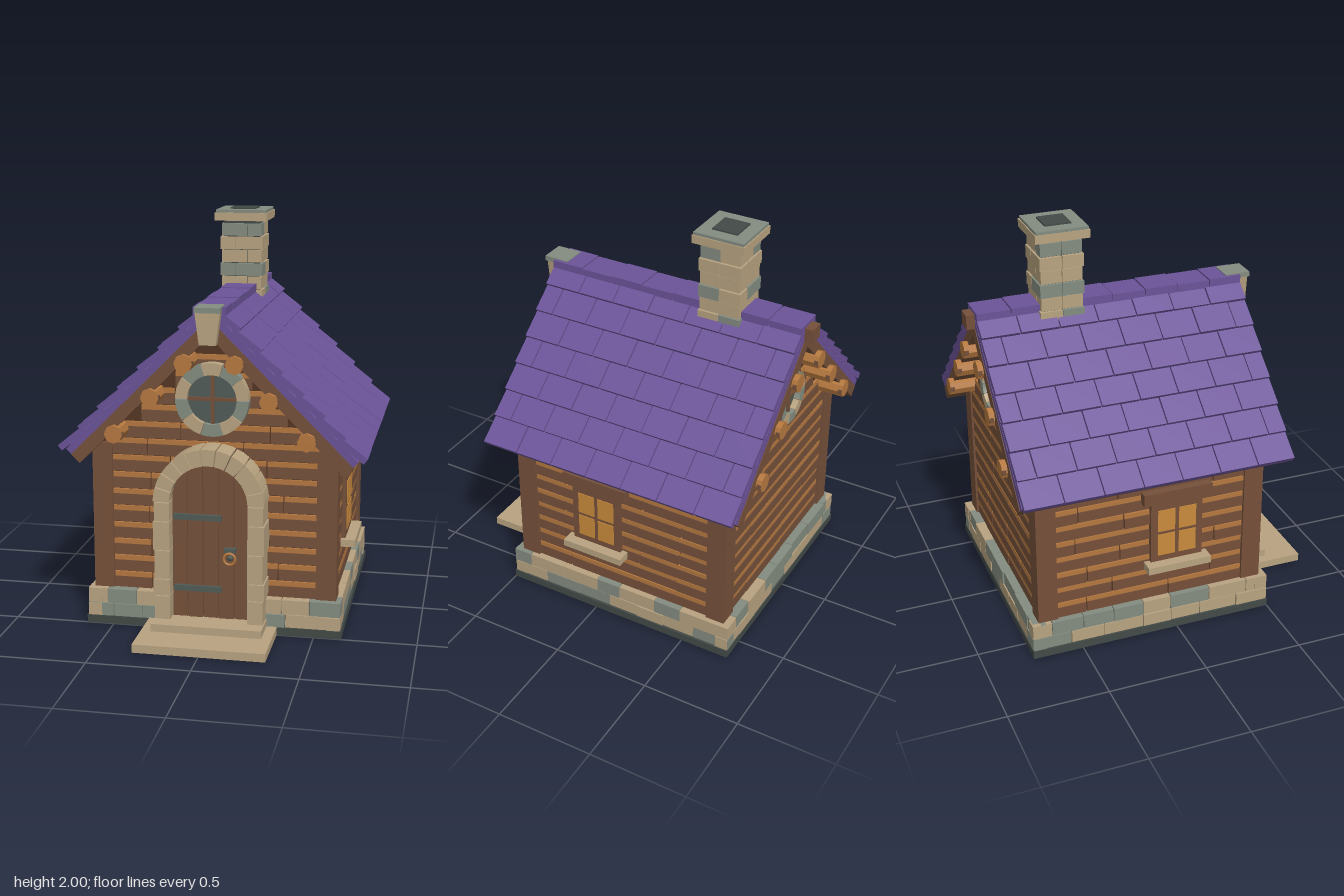
import * as THREE from 'three';

const mat = (name, color) => {
  const m = new THREE.MeshStandardMaterial({ color });
  m.name = name;
  return m;
};
const M = {
  tan: mat('sandstone', 0xb8a380),
  grey: mat('greyStone', 0x848c80),
  slate: mat('darkStone', 0x424a46),
  purple: mat('roofTile', 0x6b5398),
  brown: mat('wood', 0x75503a),
  dark: mat('darkWood', 0x553622),
  orange: mat('lightWood', 0xb5783f),
  amber: mat('litGlass', 0xc98a3c),
  iron: mat('iron', 0x505b56),
};
const ZC = -0.1275; // middle of the house in z

let seed = 7;
const rnd = () => (seed = (seed * 16807) % 2147483647) / 2147483647;
const stone = () => (rnd() < 0.62 ? M.tan : M.grey);

function add(parent, name, geo, material, x = 0, y = 0, z = 0) {
  const m = new THREE.Mesh(geo, material);
  m.name = name;
  m.position.set(x, y, z);
  parent.add(m);
  return m;
}
// box given by its min and max on each axis
const box = (p, name, material, x0, x1, y0, y1, z0, z1) =>
  add(p, name, new THREE.BoxGeometry(x1 - x0, y1 - y0, z1 - z0), material,
    (x0 + x1) / 2, (y0 + y1) / 2, (z0 + z1) / 2);

function group(parent, name) {
  const g = new THREE.Group();
  g.name = name;
  parent.add(g);
  return g;
}
const polygon = pts => new THREE.Shape(pts.map(([x, y]) => new THREE.Vector2(x, y)));
const extrude = (shape, depth) =>
  new THREE.ExtrudeGeometry(shape, { depth, bevelEnabled: false, curveSegments: 3 });

// ring of wedge-shaped stones between two angles
function stoneRing(p, name, r0, r1, a0, a1, count, y, z, depth, pick) {
  const step = (a1 - a0) / count, gap = 0.012;
  for (let i = 0; i < count; i++) {
    const a = a0 + i * step + gap, b = a0 + (i + 1) * step - gap;
    const s = new THREE.Shape();
    s.absarc(0, 0, r1, a, b, false);
    s.absarc(0, 0, r0, b, a, true);
    add(p, name, extrude(s, depth), pick(i), 0, y, z);
  }
}
// staggered planks with pale upper edges; local +z points outwards
function plankWall(p, name, yMax) {
  const g = group(p, name), h = 0.0855;
  for (let row = 0, y = 0.175; y + h <= yMax + 0.001; row++, y += h) {
    const half = Math.min(0.515, 1.475 - y - h);
    if (half < 0.05) break;
    const cuts = [-half, half];
    for (const c of row % 2 ? [-0.18, 0.3] : [-0.34, 0.1]) {
      if (Math.abs(c) < half - 0.06) cuts.push(c + (rnd() - 0.5) * 0.1);
    }
    cuts.sort((a, b) => a - b);
    for (let i = 0; i + 1 < cuts.length; i++) {
      const out = 0.012 + rnd() * 0.005, a = cuts[i] + 0.003, b = cuts[i + 1] - 0.003;
      box(g, 'plank', M.brown, a, b, y + 0.004, y + h - 0.026, -0.02, out);
      box(g, 'plankEdge', M.orange, a, b, y + h - 0.026, y + h - 0.002, -0.02, out - 0.003);
    }
  }
  return g;
}
// round gable window; local +z points outwards
function roundWindow(p, name, r0, r1) {
  const g = group(p, name);
  stoneRing(g, 'windowStone', r0, r1, 0, Math.PI * 2, 10, 0, 0, 0.06, i => (i % 2 ? M.grey : M.tan));
  const glass = add(g, 'glass', new THREE.CylinderGeometry(r0 + 0.01, r0 + 0.01, 0.04, 20), M.iron, 0, 0, 0.01);
  glass.rotation.x = Math.PI / 2;
  box(g, 'bar', M.brown, -r0, r0, -0.008, 0.008, 0.025, 0.042);
  box(g, 'bar', M.brown, -0.008, 0.008, -r0, r0, 0.025, 0.042);
  return g;
}
// square side window; local +z points outwards
function sideWindow(p) {
  const g = group(p, 'sideWindow');
  box(g, 'frame', M.brown, -0.135, 0.135, 0.395, 0.72, -0.02, 0.025);
  for (const sx of [-1, 1]) for (const y of [0.43, 0.565]) {
    box(g, 'pane', M.amber, sx * 0.055 - 0.045, sx * 0.055 + 0.045, y, y + 0.118, 0.022, 0.029);
  }
  box(g, 'lintel', M.brown, -0.178, 0.178, 0.73, 0.793, -0.02, 0.045);
  box(g, 'sill', M.tan, -0.165, 0.165, 0.36, 0.397, -0.02, 0.077);
  return g;
}
// one roof slope: x runs down the slope, y is its normal
function roofSlope(p, turn) {
  const side = group(p, 'roofSlope');
  side.position.set(0, 1.56, ZC);
  side.rotation.y = turn;
  const g = group(side, 'slope');
  g.rotation.z = -Math.PI / 4;
  const Z = 0.6825, pitch = 0.141, w = (2 * Z) / 7;
  box(g, 'deck', M.brown, 0, 0.965, -0.06, 0, -Z, Z);
  box(g, 'underlay', M.purple, 0, 0.965, 0, 0.035, -Z + 0.002, Z - 0.002);
  for (let row = 0; row < 7; row++) {
    const end = 0.986 - pitch * (6 - row);
    for (let i = 0; i <= 7; i++) {
      const off = row % 2 ? -w / 2 : 0;
      const a = Math.max(-Z, -Z + i * w + off), b = Math.min(Z, -Z + (i + 1) * w + off);
      if (b - a < 0.02) continue;
      const len = row ? 0.165 : 0.14;
      const t = box(g, 'tile', M.purple, end - len, end, 0.034, 0.066, a + 0.003, b - 0.003);
      t.rotation.z = 0.13;
      t.position.y += (rnd() - 0.5) * 0.004;
    }
  }
}

export function createModel() {
  const house = new THREE.Group();
  house.name = 'cottage';

  // foundation
  const base = group(house, 'foundation');
  box(base, 'slab', M.slate, -0.635, 0.635, 0, 0.04, -0.755, 0.5);
  box(base, 'mortar', M.slate, -0.61, 0.61, 0.04, 0.172, -0.73, 0.48);
  [[0.04, 0.104], [0.108, 0.18]].forEach(([y0, y1], row) => {
    for (let f = 0; f < 4; f++) {
      const face = group(base, 'stoneCourse');
      face.rotation.y = (f * Math.PI) / 2;
      face.position.z = ZC;
      const half = f % 2 ? 0.627 : 0.63, dist = f % 2 ? 0.63 : 0.627;
      for (let a = -half, i = 0; a < half - 0.01; i++) {
        let b = a + (i === 0 && row ? 0.1 : 0.13 + rnd() * 0.08);
        if (half - b < 0.09) b = half;
        box(face, 'stone', stone(), a + 0.002, b - 0.002, y0, y1, dist - 0.07, dist - rnd() * 0.008);
        a = b;
      }
    }
  });

  // body and corner posts
  const walls = group(house, 'walls');
  const gable = polygon([[-0.575, 0.1], [0.575, 0.1], [0.575, 0.9], [0, 1.475], [-0.575, 0.9]]);
  add(walls, 'wallCore', extrude(gable, 1.125), M.dark, 0, 0, -0.69);
  for (const x of [-0.553, 0.553]) for (const z of [0.411, -0.666]) {
    box(walls, 'cornerPost', M.brown, x - 0.05, x + 0.05, 0.175, 0.92, z - 0.05, z + 0.05);
  }
  plankWall(walls, 'frontWall', 1.45).position.z = 0.436;
  const back = plankWall(walls, 'backWall', 1.45);
  back.position.z = -0.691;
  back.rotation.y = Math.PI;
  for (const s of [-1, 1]) {
    const w = plankWall(walls, 'sideWall', 0.9);
    w.position.set(s * 0.576, 0, ZC);
    w.rotation.y = (s * Math.PI) / 2;
    const win = sideWindow(house);
    win.position.set(s * 0.585, 0, 0);
    win.rotation.y = (s * Math.PI) / 2;
  }

  // round windows
  roundWindow(house, 'frontRoundWindow', 0.12, 0.178).position.set(0, 1.16, 0.44);
  const rw = roundWindow(house, 'backRoundWindow', 0.085, 0.132);
  rw.position.set(0, 1.17, -0.695);
  rw.rotation.y = Math.PI;

  // steps
  box(house, 'lowerStep', M.tan, -0.32, 0.32, 0.001, 0.042, 0.45, 0.845);
  box(house, 'upperStep', M.tan, -0.27, 0.27, 0.04, 0.08, 0.44, 0.667);

  // stone door surround
  const arch = group(house, 'doorArch');
  stoneRing(arch, 'archStone', 0.19, 0.27, 0, Math.PI, 11, 0.67, 0.44, 0.155, () => M.tan);
  const seams = [0.08, 0.2, 0.285, 0.43, 0.575, 0.67];
  for (const s of [-1, 1]) for (let i = 0; i < 5; i++) {
    const w = 0.265 + (i % 2) * 0.006, c = s * (0.19 + w) / 2, hw = (w - 0.19) / 2;
    box(arch, 'jambStone', M.tan, c - hw, c + hw, seams[i] + 0.002, seams[i + 1] - 0.002, 0.44, 0.595);
  }

  // plank door, each plank cut to the arch
  const door = group(house, 'door');
  const dw = 0.38 / 5, top = x => 0.67 + Math.sqrt(Math.max(0, 0.192 ** 2 - x * x));
  for (let i = 0; i < 5; i++) {
    const a = -0.19 + i * dw + 0.002, b = a + dw - 0.004;
    const pts = [[a, 0.08], [b, 0.08]];
    for (let k = 0; k <= 4; k++) {
      const x = b + ((a - b) * k) / 4;
      pts.push([x, top(x)]);
    }
    add(door, 'doorPlank', extrude(polygon(pts), 0.07), M.brown, 0, 0, 0.46 + (i % 2) * 0.004);
  }
  for (const y of [0.59, 0.23]) box(door, 'hinge', M.iron, -0.18, 0.055, y - 0.014, y + 0.014, 0.52, 0.548);
  box(door, 'handlePlate', M.iron, 0.07, 0.125, 0.425, 0.445, 0.52, 0.56);
  add(door, 'handleRing', new THREE.TorusGeometry(0.028, 0.007, 6, 14), M.orange, 0.098, 0.396, 0.565);
  add(door, 'handleBoss', new THREE.SphereGeometry(0.015, 8, 6), M.iron, 0.098, 0.396, 0.545);

  // roof, ridge and purlins
  const roof = group(house, 'roof');
  roofSlope(roof, 0);
  roofSlope(roof, Math.PI);
  for (let i = 0; i < 8; i++) {
    const z = -0.81 + i * 0.1706;
    box(roof, 'ridgeCap', M.purple, -0.078, 0.078, 1.57, 1.608 + (i % 2) * 0.004, z + 0.002, z + 0.168);
  }
  box(roof, 'ridgeBeam', M.brown, -0.04, 0.04, 1.52, 1.592, -0.85, 0.54);
  const logGeo = new THREE.CylinderGeometry(0.045, 0.045, 1.415, 8).toNonIndexed();
  logGeo.computeVertexNormals();
  for (const s of [-1, 1]) for (const [x, y] of [[0.465, 0.99], [0.285, 1.175], [0.122, 1.345]]) {
    add(roof, 'purlin', logGeo, M.orange, s * x, y, -0.13).rotation.x = Math.PI / 2;
    for (const z of [0.567, -0.827]) {
      box(roof, 'purlinBand', M.brown, s * x - 0.047, s * x + 0.047, y - 0.012, y + 0.012, z - 0.01, z + 0.01);
    }
  }
  const keystone = polygon([[-0.04, 1.44], [0.04, 1.44], [0.06, 1.595], [-0.06, 1.595]]);
  add(roof, 'gableKeystone', extrude(keystone, 0.09), M.tan, 0, 0, 0.51);
  box(roof, 'keystoneCap', M.grey, -0.062, 0.062, 1.592, 1.617, 0.48, 0.61);

  // chimney
  const chimney = group(house, 'chimney');
  chimney.position.z = -0.393;
  box(chimney, 'chimneyCore', M.slate, -0.095, 0.095, 1.4, 1.95, -0.095, 0.095);
  for (let i = 0; i < 7; i++) {
    const y = 1.445 + i * 0.0685, r = i % 2 ? 0.11 : 0.104, c = (i % 2 ? 1 : -1) * 0.03;
    const first = i % 3 === 0 ? M.grey : M.tan;
    for (const [a, b, m] of [[-r, c - 0.002, first], [c + 0.002, r, stone()]]) {
      box(chimney, 'chimneyStone', m, a, b, y + 0.002, y + 0.066, -r, 0);
      box(chimney, 'chimneyStone', i % 3 === 0 ? M.grey : m, -b, -a, y + 0.002, y + 0.066, 0.003, r);
    }
  }
  box(chimney, 'chimneyCap', M.tan, -0.135, 0.135, 1.937, 1.978, -0.135, 0.135);
  box(chimney, 'chimneyTop', M.grey, -0.13, 0.13, 1.978, 1.993, -0.13, 0.13);
  box(chimney, 'flue', M.slate, -0.066, 0.066, 1.99, 2, -0.066, 0.066);

  return house;
}
